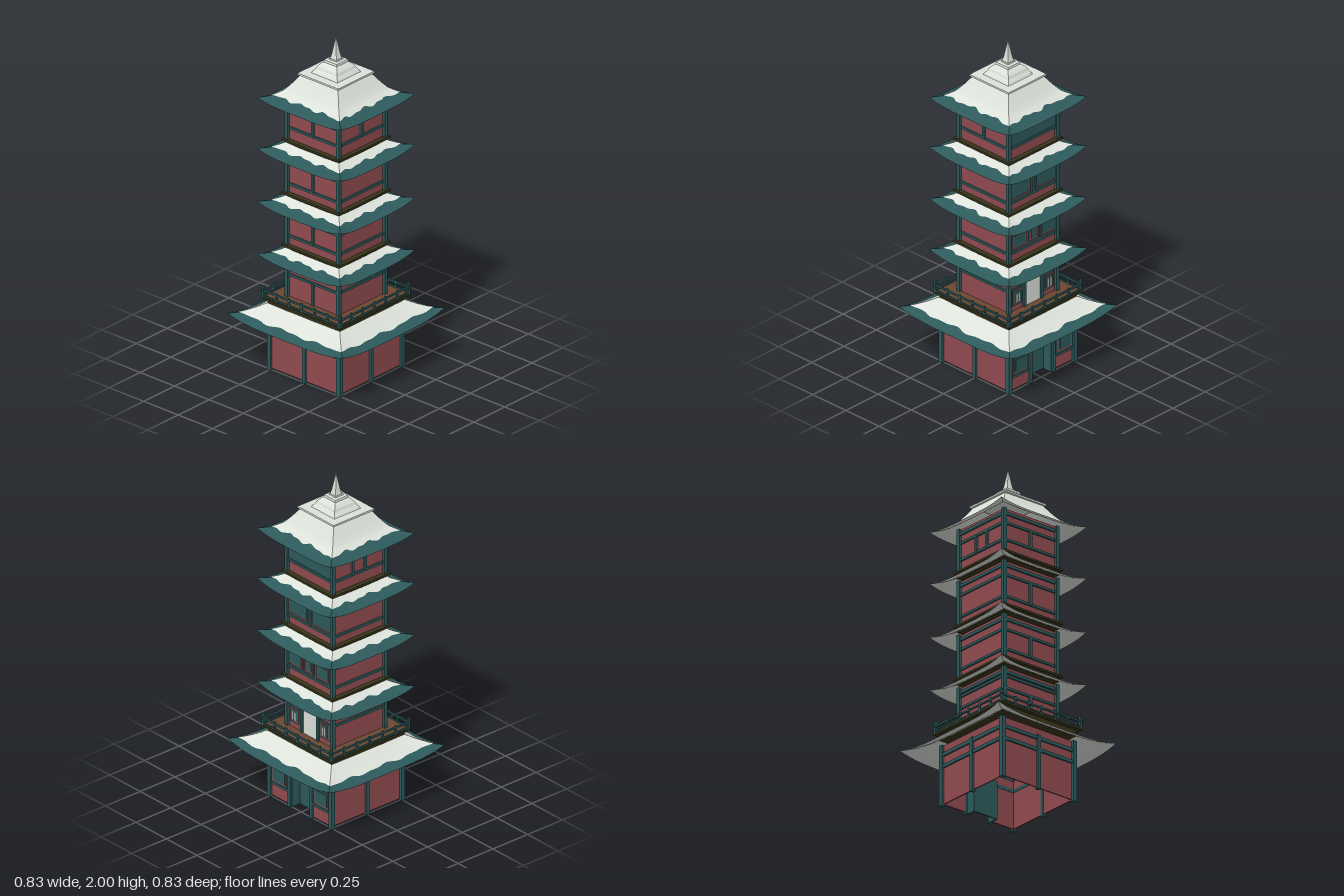
import * as THREE from 'three';

const mat = (name, color) => {
  const m = new THREE.MeshStandardMaterial({ color });
  m.name = name;
  return m;
};

export function createModel() {
  const red = mat('red wall', 0x914b50);
  const teal = mat('teal timber', 0x2d5a5b);
  const snow = mat('snow', 0xdde2db);
  const olive = mat('dark balcony edge', 0x38351b);
  const brown = mat('brown deck', 0x6b4630);

  const root = new THREE.Group();
  root.name = 'pagoda';

  const group = (name, parent) => {
    const g = new THREE.Group();
    g.name = name;
    parent.add(g);
    return g;
  };
  const add = (parent, name, geo, material) => {
    const m = new THREE.Mesh(geo, material);
    m.name = name;
    parent.add(m);
    return m;
  };
  // Box given by its limits on each axis
  const box = (parent, name, material, x0, x1, y0, y1, z0, z1) => {
    const m = add(parent, name, new THREE.BoxGeometry(x1 - x0, y1 - y0, z1 - z0), material);
    m.position.set((x0 + x1) / 2, (y0 + y1) / 2, (z0 + z1) / 2);
    return m;
  };
  // A facade group: local +z points outwards (0 front, 1 left, 2 back, 3 right)
  const facade = (parent, k) => {
    const g = group(['frontFace', 'leftFace', 'backFace', 'rightFace'][k], parent);
    g.rotation.y = k * Math.PI / 2;
    return g;
  };

  // Four-sided curved roof sheet; profile lists [radius, height] from top to eave
  const roofSheet = (profile, y0, lift, offset, limit, flip) => {
    const pos = [], idx = [], N = 48, M = 10;
    const rIn = profile[0][0], rMax = profile[profile.length - 1][0];
    const height = (r, u) => {
      let i = 1;
      while (i < profile.length - 1 && r > profile[i][0]) i++;
      const [ra, ya] = profile[i - 1], [rb, yb] = profile[i];
      const t = (r - rIn) / (rMax - rIn);
      return y0 + ya + (yb - ya) * (r - ra) / (rb - ra) + lift * Math.abs(u) ** 4 * t * t + offset;
    };
    for (let k = 0; k < 4; k++) {
      const base = pos.length / 3, c = Math.cos(k * Math.PI / 2), s = Math.sin(k * Math.PI / 2);
      for (let i = 0; i <= N; i++) {
        const u = -1 + 2 * i / N, rOut = limit(u, k);
        for (let j = 0; j <= M; j++) {
          const r = rIn + (rOut - rIn) * j / M, x = u * r;
          pos.push(x * c + r * s, height(r, u), -x * s + r * c);
          if (i < N && j < M) {
            const a = base + i * (M + 1) + j, b = a + 1, d = a + M + 1, e = d + 1;
            if (flip) idx.push(a, d, b, b, d, e);
            else idx.push(a, b, d, b, e, d);
          }
        }
      }
    }
    const g = new THREE.BufferGeometry();
    g.setAttribute('position', new THREE.Float32BufferAttribute(pos, 3));
    g.setIndex(idx);
    g.computeVertexNormals();
    return g;
  };

  const addRoof = (name, profile, y0, lift, snowLine) => {
    const g = group(name, root), rMax = profile[profile.length - 1][0];
    const full = () => rMax;
    // Wavy lower edge of the snow, settling to a fixed value at the ridges
    const wavy = (u, k) => snowLine + (1 - u ** 6) *
      (0.006 * Math.sin(9 * u + k * 2) + 0.004 * Math.sin(17 * u + k)) + 0.014 * u ** 6;
    add(g, 'roofTiles', roofSheet(profile, y0, lift, 0, full, false), teal);
    add(g, 'roofSnow', roofSheet(profile, y0, lift, 0.005, wavy, false), snow);
    add(g, 'roofUnderside', roofSheet(profile, y0, lift, -0.004, full, true), snow);
    return g;
  };

  // Framed panel on a facade
  const panel = (f, name, x0, x1, y0, y1, z, fill, frame, t = 0.012) => {
    box(f, name + 'Frame', frame, x0, x1, y0, y1, z, z + 0.006);
    box(f, name, fill, x0 + t, x1 - t, y0 + t, y1 - t, z + 0.002, z + 0.009);
  };
  const cornerPosts = (parent, r, w, y0, y1) => {
    for (const sx of [-1, 1]) for (const sz of [-1, 1]) {
      box(parent, 'cornerPost', teal, sx * r - w, sx * r + w, y0, y1, sz * r - w, sz * r + w);
    }
  };

  // Ground floor: hollow walls, open underneath, with a recessed door on one side
  const ground = group('groundFloor', root);
  cornerPosts(ground, 0.252, 0.013, 0, 0.36);
  box(ground, 'ceiling', snow, -0.245, 0.245, 0.315, 0.32, -0.245, 0.245);
  for (let k = 0; k < 4; k++) {
    const f = facade(ground, k);
    for (const y of [0.234, 0.303]) box(f, 'beam', teal, -0.25, 0.25, y - 0.01, y + 0.01, 0.24, 0.26);
    if (k !== 1) {
      box(f, 'wall', red, -0.25, 0.25, 0.01, 0.36, 0.242, 0.25);
      box(f, 'middlePost', teal, -0.011, 0.011, 0, 0.32, 0.24, 0.263);
      continue;
    }
    box(f, 'wallAboveDoor', red, -0.08, 0.08, 0.225, 0.36, 0.242, 0.25);
    box(f, 'door', teal, -0.08, 0.08, 0, 0.225, 0.185, 0.192);
    for (const s of [-1, 1]) {
      const x0 = s < 0 ? -0.25 : 0.08, w = s * 0.172;
      box(f, 'wall', red, x0, x0 + 0.17, 0.01, 0.36, 0.242, 0.25);
      box(f, 'doorJamb', teal, s * 0.08 - 0.004, s * 0.08 + 0.004, 0, 0.225, 0.185, 0.25);
      box(f, 'doorPost', teal, s * 0.09 - 0.01, s * 0.09 + 0.01, 0, 0.225, 0.24, 0.262);
      box(f, 'sillBeam', teal, x0, x0 + 0.17, 0.085, 0.1, 0.245, 0.26);
      panel(f, 'window', w - 0.065, w + 0.065, 0.1, 0.22, 0.25, red, teal, 0.008);
      panel(f, 'windowPane', w - 0.048, w + 0.048, 0.117, 0.204, 0.256, teal, teal, 0.01);
    }
  }
  addRoof('lowerRoof', [[0.2, 0.1], [0.265, 0.083], [0.3, 0.058], [0.36, 0.023], [0.416, 0.002]], 0.31, 0.033, 0.362);

  // Balcony with railing
  const balcony = group('balcony', root);
  box(balcony, 'balconyBase', olive, -0.262, 0.262, 0.39, 0.425, -0.262, 0.262);
  box(balcony, 'balconyEdge', olive, -0.285, 0.285, 0.425, 0.437, -0.285, 0.285);
  box(balcony, 'deck', brown, -0.275, 0.275, 0.434, 0.441, -0.275, 0.275);
  for (let k = 0; k < 4; k++) {
    const f = facade(balcony, k);
    box(f, 'topRail', teal, -0.29, 0.29, 0.471, 0.481, 0.273, 0.283);
    box(f, 'footRail', teal, -0.278, 0.278, 0.441, 0.449, 0.274, 0.282);
    box(f, 'cornerRailPost', teal, 0.271, 0.285, 0.437, 0.505, 0.271, 0.285);
    for (const x of [-0.185, -0.093, 0, 0.093, 0.185]) {
      box(f, 'railPost', teal, x - 0.005, x + 0.005, 0.437, 0.488, 0.273, 0.283);
    }
  }

  // Four upper floors: [wall bottom, eave height, lower beam, upper beam]
  const floors = [
    [0.437, 0.67, 0.575, 0.647], [0.755, 0.985, 0.808, 0.925],
    [1.07, 1.305, 1.122, 1.25], [1.39, 1.615, 1.46, 1.56]];
  const midRoof = [[0.12, 0.066], [0.19, 0.056], [0.21, 0.042], [0.245, 0.022], [0.302, 0.002]];
  const topRoof = [[0.13, 0.158], [0.15, 0.128], [0.172, 0.095], [0.2, 0.058], [0.24, 0.028], [0.302, 0.004]];

  floors.forEach(([y0, y1, bLow, bHigh], n) => {
    const fl = group('upperFloor' + (n + 1), root);
    box(fl, 'walls', red, -0.182, 0.182, y0, y1 + 0.03, -0.182, 0.182);
    cornerPosts(fl, 0.186, 0.011, y0, y1 + 0.03);
    for (let k = 0; k < 4; k++) {
      const f = facade(fl, k);
      const ys = k === 1 && n === 0 ? [0.647] : [bLow, bHigh];
      for (const y of ys) box(f, 'beam', teal, -0.185, 0.185, y - 0.007, y + 0.007, 0.18, 0.192);
      box(f, 'topBeam', teal, -0.185, 0.185, y1 - 0.008, y1 + 0.01, 0.18, 0.192);
      const post = (x, a = bLow, b = bHigh) => box(f, 'wallPost', teal, x - 0.008, x + 0.008, a, b, 0.18, 0.194);
      if (n === 3 && k === 0) post(0);
      if (n === 3 && k === 2) [-0.045, 0.045].forEach(x => post(x));
      if (k === 3) n === 0 ? post(0, y0, bLow) : post(0);
      if (k !== 1) continue;
      // Window side
      if (n === 0) {
        box(f, 'paleDoor', snow, -0.055, 0.055, y0, 0.6, 0.18, 0.187);
        for (const s of [-1, 1]) {
          post(s * 0.066, y0, 0.645);
          panel(f, 'window', s * 0.122 - 0.042, s * 0.122 + 0.042, 0.475, 0.58, 0.182, red, teal, 0.01);
          box(f, 'windowPane', teal, s * 0.122 - 0.026, s * 0.122 + 0.026, 0.492, 0.562, 0.186, 0.194);
          for (const d of [-0.014, 0.004]) {
            box(f, 'paneStripe', snow, s * 0.122 + d, s * 0.122 + d + 0.009, 0.492, 0.545, 0.19, 0.196);
          }
        }
      } else if (n === 1) {
        panel(f, 'smallWindow', -0.034, 0.034, 0.825, 0.923, 0.182, red, teal, 0.01);
        box(f, 'smallPane', teal, -0.018, 0.018, 0.842, 0.906, 0.186, 0.194);
        for (const s of [-1, 1]) {
          panel(f, 'window', s * 0.11 - 0.06, s * 0.11 + 0.06, 0.825, 0.923, 0.182, red, teal, 0.008);
          box(f, 'windowPane', teal, s * 0.11 - 0.045, s * 0.11 + 0.045, 0.84, 0.908, 0.186, 0.194);
        }
      } else if (n === 2) {
        post(0);
        for (const s of [-1, 1]) panel(f, 'shutter', s * 0.096 - 0.078, s * 0.096 + 0.078, 1.14, 1.244, 0.182, teal, red, 0.006);
      } else {
        box(f, 'widePanel', teal, -0.175, 0.175, 1.47, 1.553, 0.18, 0.187);
      }
    }
    if (n < 3) {
      addRoof('middleRoof' + (n + 1), midRoof, y1, 0.028, 0.237);
      // Stepped ledge under the next floor
      const yn = floors[n + 1][0];
      box(fl, 'ledgeBase', olive, -0.193, 0.193, y1 + 0.045, yn - 0.01, -0.193, 0.193);
      box(fl, 'ledgeEdge', olive, -0.21, 0.21, yn - 0.012, yn, -0.21, 0.21);
    }
  });

  // Top roof with snow-covered cap and spire
  const top = addRoof('topRoof', topRoof, 1.615, 0.022, 0.235);
  box(top, 'capSlab', snow, -0.147, 0.147, 1.77, 1.781, -0.147, 0.147);
  const squareLathe = (name, pts) => {
    const half = pts.map(([r, y]) => new THREE.Vector2(r * Math.SQRT2, y));
    const g = new THREE.LatheGeometry(half, 4, Math.PI / 4).toNonIndexed();
    g.computeVertexNormals();
    add(top, name, g, snow);
  };
  squareLathe('cap', [[0.095, 1.781], [0.09, 1.79], [0.078, 1.806], [0.073, 1.82], [0.06, 1.835],
    [0.048, 1.845], [0.046, 1.858], [0.028, 1.86], [0.026, 1.866], [0, 1.866]]);
  squareLathe('spire', [[0.024, 1.86], [0.017, 1.89], [0.009, 1.94], [0, 2.0]]);

  return root;
}
